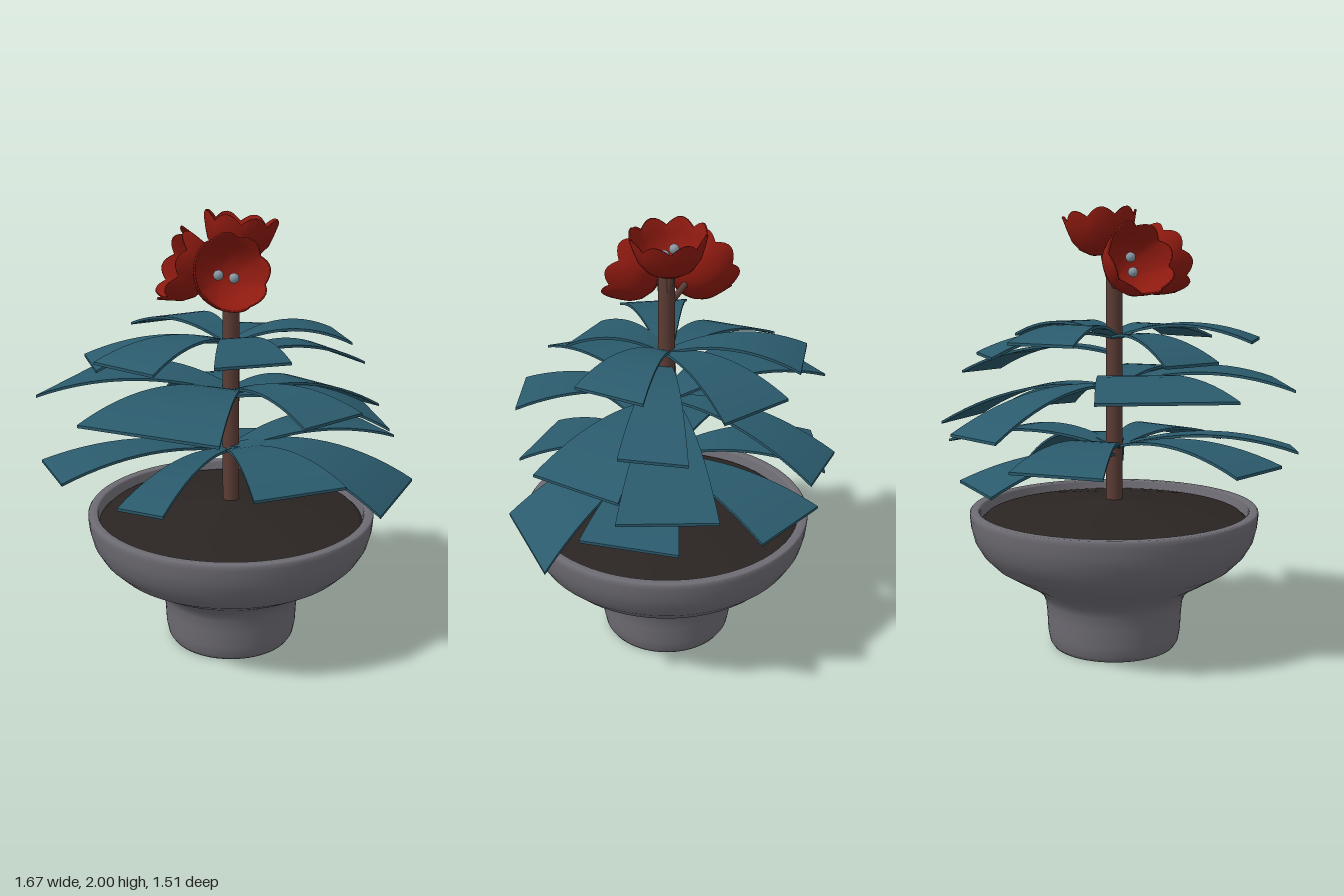
import * as THREE from 'three';

const mat = (color) => new THREE.MeshStandardMaterial({ color, side: THREE.DoubleSide });

function add(parent, name, geometry, material) {
  const mesh = new THREE.Mesh(geometry, material);
  mesh.name = name;
  parent.add(mesh);
  return mesh;
}

const lathe = (points, sides) =>
  new THREE.LatheGeometry(points.map(([r, y]) => new THREE.Vector2(r, y)), sides);

// Arched leaf: a thin slab widening from the stem to a straight tip between two corners
function leafGeometry(rootY, bulge, tipY, ax, az, bx, bz) {
  const mx = (ax + bx) / 2, mz = (az + bz) / 2;
  let wx = (bx - ax) / 2, wz = (bz - az) / 2;
  if (wx * -mz + wz * mx < 0) { wx = -wx; wz = -wz; }
  const geo = new THREE.BoxGeometry(1, 1, 2, 14, 1, 6);
  const p = geo.attributes.position;
  for (let i = 0; i < p.count; i++) {
    const t = p.getX(i) + 0.5, s = p.getZ(i);
    const width = 0.14 + 0.86 * Math.pow(t, 0.85);
    const y = rootY * (1 - t) ** 2 + 2 * (rootY + bulge) * t * (1 - t) + tipY * t * t;
    p.setXYZ(i, mx * t + wx * s * width, y + p.getY(i) * 0.012, mz * t + wz * s * width);
  }
  geo.computeVertexNormals();
  return geo;
}

// Open cup with a scalloped rim, base at the origin and opening upward
function cupGeometry() {
  const geo = lathe([
    [0.001, 0], [0.06, 0.008], [0.105, 0.035], [0.135, 0.075], [0.15, 0.12], [0.165, 0.175],
    [0.155, 0.175], [0.14, 0.12], [0.124, 0.08], [0.096, 0.045], [0.055, 0.02], [0.001, 0.014],
  ], 64);
  const p = geo.attributes.position;
  for (let i = 0; i < p.count; i++) {
    const x = p.getX(i), y = p.getY(i), z = p.getZ(i);
    const k = (y / 0.175) ** 2, a = Math.atan2(z, x);
    const wave = Math.abs(Math.cos(a * 4)) - 0.6;
    const grow = 1 + 0.05 * k * wave;
    p.setXYZ(i, x * grow, y + 0.035 * k * wave, z * grow);
  }
  geo.computeVertexNormals();
  return geo;
}

export function createModel() {
  const model = new THREE.Group();
  model.name = 'pottedPlant';
  const potMat = mat(0x6e6c73), soilMat = mat(0x2a2422), stemMat = mat(0x5c3c35);
  const leafMat = mat(0x2a5a6c), petalMat = mat(0x8e1a10), stamenMat = mat(0x8a98a3);

  // Pot with a narrow foot and a wide bowl
  add(model, 'pot', lathe([
    [0.001, 0], [0.285, 0], [0.298, 0.02], [0.308, 0.07], [0.312, 0.15], [0.318, 0.21],
    [0.335, 0.25], [0.375, 0.29], [0.46, 0.34], [0.55, 0.395], [0.605, 0.45], [0.64, 0.51],
    [0.655, 0.57], [0.66, 0.62], [0.66, 0.638], [0.654, 0.646], [0.622, 0.646], [0.615, 0.638],
    [0.608, 0.58], [0.58, 0.5], [0.3, 0.45], [0.001, 0.45],
  ], 64), potMat);

  // Mounded soil
  add(model, 'soil', lathe([[0.612, 0.59], [0.59, 0.61], [0.34, 0.643], [0.001, 0.688]], 48), soilMat);

  // Stem
  const stem = add(model, 'stem', new THREE.CylinderGeometry(0.037, 0.038, 1.19, 20), stemMat);
  stem.position.y = 1.205;

  // Leaves: root height, bulge, tip height, then the two tip corners (x, z)
  const leaves = new THREE.Group();
  leaves.name = 'leaves';
  model.add(leaves);
  [
    // Top tier
    [1.42, 0.13, 1.42, -0.29, -0.56, 0.04, -0.61],
    [1.42, 0.08, 1.35, 0.16, -0.59, 0.47, -0.41],
    [1.42, 0.13, 1.42, 0.55, -0.10, 0.49, 0.22],
    [1.42, 0.11, 1.42, -0.24, 0.41, 0.09, 0.44],
    [1.42, 0.13, 1.42, -0.66, 0.13, -0.50, 0.42],
    [1.42, 0.07, 1.34, -0.58, -0.34, -0.61, -0.03],
    [1.35, 0.09, 1.25, 0.67, -0.33, 0.71, -0.05],
    // Middle tier
    [1.20, 0.13, 1.21, 0.04, 0.675, 0.355, 0.57],
    [1.20, 0.15, 1.21, -0.78, 0.29, -0.35, 0.75],
    [1.20, 0.15, 1.21, -0.84, -0.20, -0.46, -0.62],
    [1.20, 0.06, 1.03, -0.05, -0.76, 0.27, -0.73],
    [1.19, 0.07, 1.02, 0.67, -0.46, 0.815, -0.08],
    [1.18, 0.06, 1.05, 0.71, -0.05, 0.61, 0.37],
    // Bottom tier
    [0.92, 0.13, 0.91, -0.15, 0.615, 0.27, 0.615],
    [0.92, 0.13, 0.91, -0.68, 0.48, -0.54, 0.63],
    [0.92, 0.13, 0.91, -0.83, -0.20, -0.82, 0.135],
    [0.92, 0.13, 0.91, -0.46, -0.57, -0.08, -0.72],
    [0.92, 0.13, 0.91, 0.78, -0.33, 0.81, 0.08],
    [0.94, 0.08, 0.735, 0.83, 0.23, 0.46, 0.58],
    [0.89, 0.05, 0.79, 0.03, -0.72, 0.41, -0.57],
  ].forEach((l) => add(leaves, 'leaf', leafGeometry(...l), leafMat));

  // Flowers: rim centre and the direction each cup opens
  const cup = cupGeometry(), bead = new THREE.SphereGeometry(0.022, 16, 12);
  const up = new THREE.Vector3(0, 1, 0);
  [
    { at: [-0.09, 1.77, 0.225], facing: [-0.05, 0.36, 0.93] },
    { at: [0.06, 1.955, -0.03], facing: [0.15, 1, 0] },
    { at: [-0.235, 1.77, -0.09], facing: [-0.9, 0.36, -0.2] },
  ].forEach(({ at, facing }) => {
    const dir = new THREE.Vector3(...facing).normalize();
    const base = new THREE.Vector3(...at).addScaledVector(dir, -0.17);
    const flower = new THREE.Group();
    flower.name = 'flower';
    flower.position.copy(base);
    flower.quaternion.setFromUnitVectors(up, dir);
    add(flower, 'petalCup', cup, petalMat);
    for (const s of [-1, 1]) {
      add(flower, 'stamen', bead, stamenMat).position.set(0.033 * s, 0.1, 0.01 * s);
    }
    model.add(flower);

    // Stalk bending from the stem into the cup
    const path = new THREE.QuadraticBezierCurve3(
      new THREE.Vector3(0, 1.62, 0),
      base.clone().addScaledVector(dir, -0.05),
      base.clone().addScaledVector(dir, 0.01));
    add(model, 'flowerStalk', new THREE.TubeGeometry(path, 10, 0.014, 10), stemMat);
  });

  return model;
}
